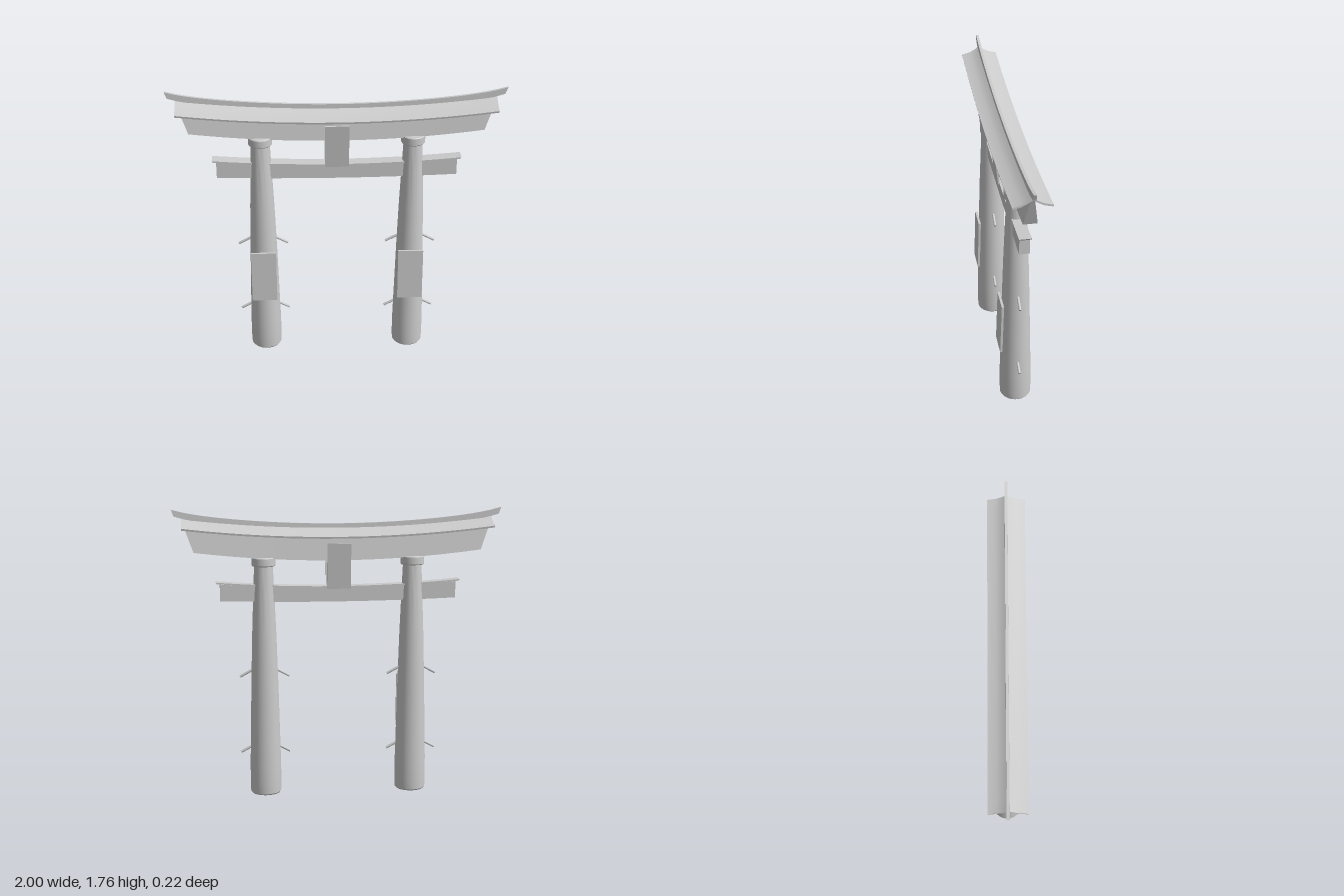
import * as THREE from 'three';
import { toCreasedNormals } from 'three/addons/utils/BufferGeometryUtils.js';

const material = new THREE.MeshStandardMaterial({ color: 0xcccccc });

function add(parent, name, geometry, x = 0, y = 0, z = 0) {
  const mesh = new THREE.Mesh(geometry, material);
  mesh.name = name;
  mesh.position.set(x, y, z);
  parent.add(mesh);
  return mesh;
}

// Upswept beam along x. Each half-section corner, listed from bottom to top, is
// [depth, height at the middle, half length, upward sweep, extra lift at the tips].
function sweptBeam(half, steps = 32) {
  const mirrored = half.filter(p => p[0] > 0).reverse().map(([d, ...rest]) => [-d, ...rest]);
  const section = [...half, ...mirrored];
  const n = section.length, positions = [], index = [];
  for (let i = 0; i <= steps; i++) {
    const u = (2 * i) / steps - 1;
    for (const [d, y, length, sweep, lift = 0] of section) {
      const x = u * length;
      positions.push(x, y + sweep * x * x + lift * x ** 10, -d);
    }
  }
  for (let i = 0; i < steps; i++) {
    for (let j = 0; j < n; j++) {
      const k = (j + 1) % n, a = i * n, b = a + n;
      index.push(a + j, a + k, b + k, a + j, b + k, b + j);
    }
  }
  const contour = section.map(([d, y]) => new THREE.Vector2(d, y));
  for (const [a, b, c] of THREE.ShapeUtils.triangulateShape(contour, [])) {
    const end = steps * n;
    index.push(end + a, end + b, end + c, a, c, b);
  }
  const geometry = new THREE.BufferGeometry();
  geometry.setAttribute('position', new THREE.Float32BufferAttribute(positions, 3));
  geometry.setIndex(index);
  return toCreasedNormals(geometry, 0.4);
}

function lathe(points) {
  const profile = points.map(([r, y]) => new THREE.Vector2(r, y));
  return toCreasedNormals(new THREE.LatheGeometry(profile, 40), 0.6);
}

function createPillar(side) {
  const pillar = new THREE.Group();
  pillar.name = side > 0 ? 'leftPillar' : 'rightPillar';
  pillar.position.x = side * 0.455;

  add(pillar, 'pillarShaft', lathe([
    [0, 0], [0.088, 0], [0.094, 0.008], [0.096, 0.06], [0.095, 0.2], [0.09, 0.4],
    [0.083, 0.7], [0.074, 1.0], [0.064, 1.25], [0.056, 1.44], [0, 1.44],
  ]));
  add(pillar, 'pillarCollar', lathe([
    [0, 1.422], [0.068, 1.422], [0.072, 1.427], [0.072, 1.47], [0.068, 1.475], [0, 1.475],
  ]));

  // Sloping pegs on both sides, in two rows
  for (const y of [0.762, 0.282]) {
    for (const s of [-1, 1]) {
      const peg = add(pillar, 'peg', new THREE.CylinderGeometry(0.008, 0.008, 0.105, 10), s * 0.106, y + 0.003);
      peg.rotation.z = s * (-Math.PI / 2 - 0.5);
    }
  }

  // Board leaning along the front of the pillar
  const board = add(pillar, 'noticeBoard', new THREE.BoxGeometry(0.155, 0.336, 0.014), 0, 0.548, 0.094);
  board.rotation.x = -0.03;
  return pillar;
}

export function createModel() {
  const gate = new THREE.Group();
  gate.name = 'gate';
  gate.add(createPillar(-1), createPillar(1));

  // Main lintel, tapering upwards with slanted ends
  add(gate, 'mainLintel', sweptBeam([
    [0.04, 1.455, 0.872, 0.073], [0.01, 1.645, 0.94, 0.062],
  ]));
  // Thin concave roof
  add(gate, 'roof', sweptBeam([
    [0, 1.642, 0.94, 0.065], [0.025, 1.624, 0.94, 0.065], [0.06, 1.605, 0.94, 0.065],
    [0.108, 1.593, 0.94, 0.065], [0.11, 1.604, 0.94, 0.065], [0.06, 1.617, 0.94, 0.065],
    [0.025, 1.636, 0.94, 0.065], [0, 1.656, 0.94, 0.065],
  ]));
  // Ridge with raised tips
  add(gate, 'ridge', sweptBeam([
    [0.009, 1.645, 0.985, 0.06, 0.025], [0.008, 1.675, 1, 0.075, 0.015],
  ]));

  // Lower tie beam and its thin cap
  add(gate, 'tieBeam', sweptBeam([
    [0.03, 1.202, 0.72, 0.025], [0.03, 1.29, 0.72, 0.05],
  ]));
  add(gate, 'tieBeamCap', sweptBeam([
    [0.036, 1.288, 0.74, 0.058], [0.036, 1.297, 0.745, 0.058],
  ]));

  // Centre strut with a leaning tablet on the front and back
  add(gate, 'centreStrut', new THREE.BoxGeometry(0.06, 0.2, 0.05), 0, 1.375);
  for (const s of [-1, 1]) {
    const tablet = add(gate, 'tablet', new THREE.BoxGeometry(0.144, 0.28, 0.01), 0, 1.421, s * 0.051);
    tablet.rotation.x = s * 0.11;
  }
  return gate;
}
